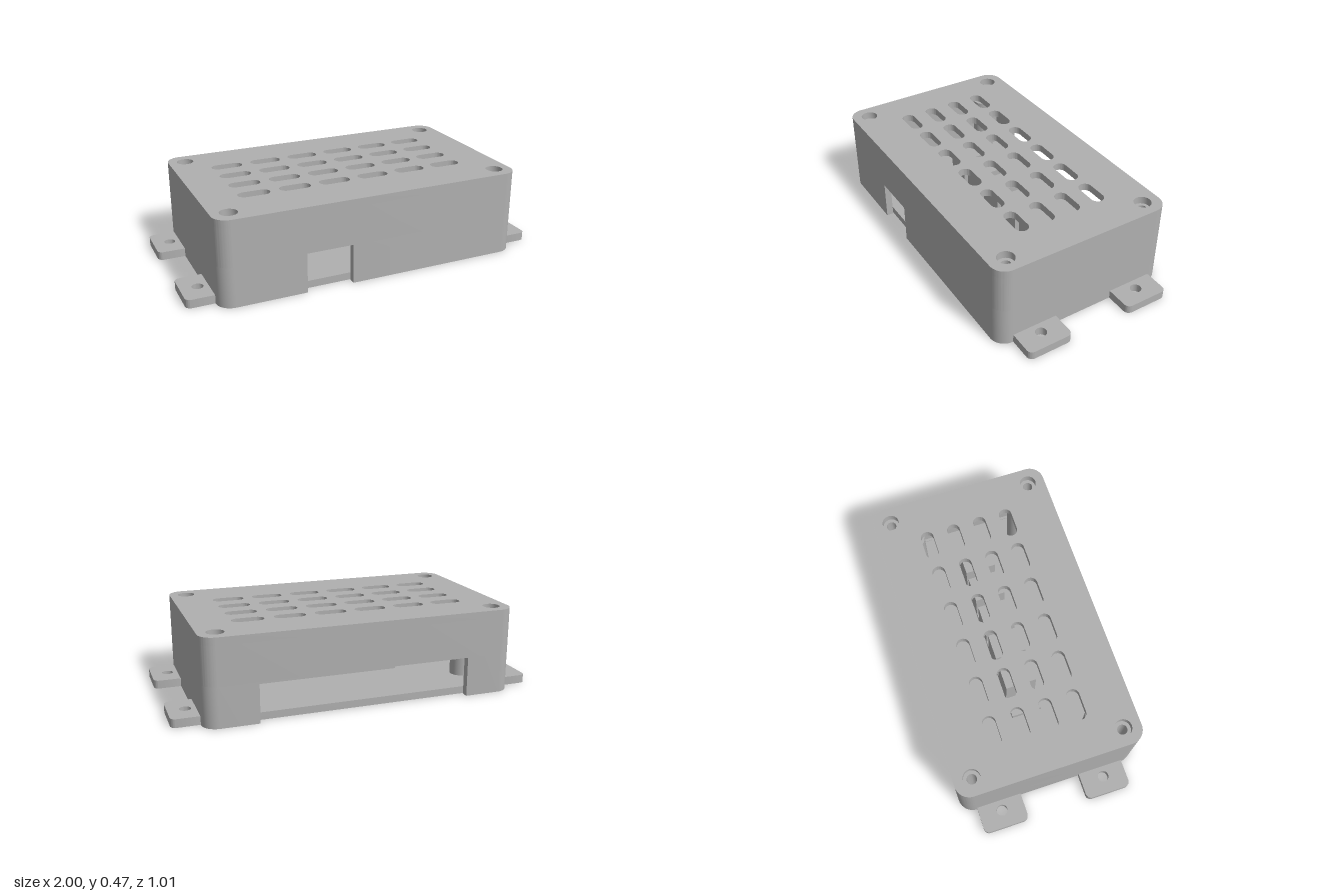
import * as THREE from 'three';
import { toCreasedNormals } from 'three/addons/utils/BufferGeometryUtils.js';

const W = 0.853, D = 0.507, R = 0.08, T = 0.038; // half width, half depth, corner radius, wall
const LID = 0.425, TOP = 0.466, OPEN = 0.217;

export function createModel() {
  const model = new THREE.Group();
  const grey = new THREE.MeshStandardMaterial({ color: 0xb0b0b0 });
  grey.name = 'grey plastic';

  function add(name, geometry, x = 0, y = 0, z = 0) {
    const mesh = new THREE.Mesh(geometry, grey);
    mesh.name = name;
    mesh.position.set(x, y, z);
    model.add(mesh);
    return mesh;
  }

  // Plan shapes use (x, -z) and are extruded upwards
  function slab(name, shape, y0, y1, x = 0, z = 0) {
    const g = new THREE.ExtrudeGeometry(shape, { depth: y1 - y0, bevelEnabled: false, curveSegments: 12 });
    g.rotateX(-Math.PI / 2);
    return add(name, toCreasedNormals(g, 0.5), x, y0, z);
  }
  const box = (name, x0, x1, y0, y1, z0, z1) =>
    add(name, new THREE.BoxGeometry(x1 - x0, y1 - y0, z1 - z0), (x0 + x1) / 2, (y0 + y1) / 2, (z0 + z1) / 2);

  function roundRect(shape, w, d, r) {
    shape.absarc(w - r, d - r, r, 0, Math.PI / 2);
    shape.absarc(-w + r, d - r, r, Math.PI / 2, Math.PI);
    shape.absarc(-w + r, -d + r, r, Math.PI, Math.PI * 1.5);
    shape.absarc(w - r, -d + r, r, Math.PI * 1.5, Math.PI * 2);
    shape.closePath();
    return shape;
  }
  const circle = (path, x, y, r) => path.absarc(x, y, r, 0, Math.PI * 2);
  function ring(r, hole) {
    const s = circle(new THREE.Shape(), 0, 0, r);
    s.holes.push(circle(new THREE.Path(), 0, 0, hole));
    return s;
  }

  // Upper wall, a closed band above the openings
  const band = roundRect(new THREE.Shape(), W, D, R);
  band.holes.push(roundRect(new THREE.Path(), W - T, D - T, R - T));
  slab('upperWall', band, OPEN, LID);

  // Lower walls, one C-shape at each end, leaving front and back openings
  function endWall(side, xFront, xBack) {
    const pts = [];
    const corner = (sz, r, a0, a1) => {
      for (let i = 0; i <= 10; i++) {
        const a = a0 + (a1 - a0) * i / 10;
        pts.push(new THREE.Vector2(side * (W - R + r * Math.cos(a)), sz * (D - R) + r * Math.sin(a)));
      }
    };
    pts.push(new THREE.Vector2(xFront, -D));
    corner(-1, R, -Math.PI / 2, 0);
    corner(1, R, 0, Math.PI / 2);
    pts.push(new THREE.Vector2(xBack, D), new THREE.Vector2(xBack, D - T));
    corner(1, R - T, Math.PI / 2, 0);
    corner(-1, R - T, 0, -Math.PI / 2);
    pts.push(new THREE.Vector2(xFront, -D + T));
    slab(side > 0 ? 'leftEndWall' : 'rightEndWall', new THREE.Shape(pts), 0, OPEN);
  }
  endWall(1, -0.14, 0.57);
  endWall(-1, -0.395, -0.58);

  // Lid with vent slots and screw recesses
  const lid = roundRect(new THREE.Shape(), W, D, R);
  for (let row = 0; row < 4; row++) {
    for (let col = 0; col < 6; col++) {
      const x = -0.567 + col * 0.2245, y = 0.24 - row * 0.154, h = 0.05, r = 0.036;
      const slot = new THREE.Path();
      slot.absarc(x + h, y, r, -Math.PI / 2, Math.PI / 2);
      slot.absarc(x - h, y, r, Math.PI / 2, Math.PI * 1.5);
      slot.closePath();
      lid.holes.push(slot);
    }
  }
  for (const sx of [-1, 1]) for (const sz of [-1, 1]) {
    lid.holes.push(circle(new THREE.Path(), sx * 0.76, sz * 0.411, 0.046));
  }
  slab('lid', lid, LID, TOP);

  // Floor plate inside the walls
  slab('floor', roundRect(new THREE.Shape(), W - T - 0.003, D - T - 0.003, 0.04), 0.002, 0.042);

  for (const sx of [-1, 1]) for (const sz of [-1, 1]) {
    // Screw bosses and hanging posts
    slab('screwBoss', ring(0.06, 0.027), 0.042, LID, sx * 0.76, sz * 0.411);
    add('lidPost', new THREE.CylinderGeometry(0.06, 0.06, LID - 0.065, 28), sx * 0.645, (LID + 0.065) / 2, sz * 0.31);

    // Mounting tabs with a bolt hole
    const tab = roundRect(new THREE.Shape(), 0.1, 0.126, 0.03);
    tab.holes.push(circle(new THREE.Path(), sx * 0.008, 0, 0.03));
    slab('mountingTab', tab, 0, 0.046, sx * 0.9, sz * 0.297);
  }

  // Internal rail with a row of dividers
  box('railFoot', -0.355, 0.53, 0.042, 0.12, -0.06, 0.06);
  box('rail', -0.45, 0.55, 0.12, 0.155, -0.085, 0.085);
  for (let i = 0; i < 5; i++) {
    const x = -0.34 + i * 0.18;
    box('railBlock', x, x + 0.14, 0.155, 0.35, -0.085, 0.085);
  }
  return model;
}
